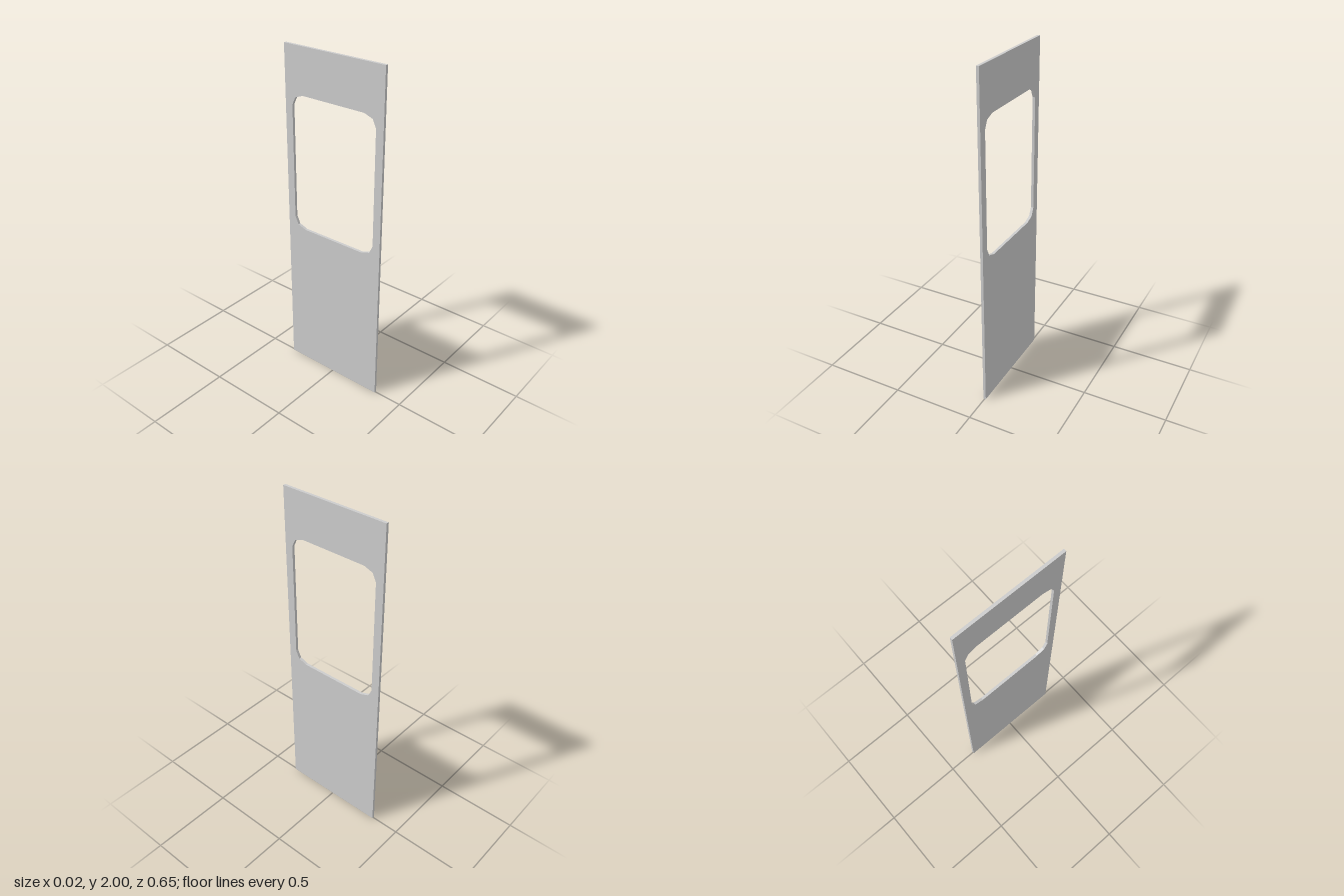
import * as THREE from 'three';

const HEIGHT = 2, WIDTH = 0.65, THICKNESS = 0.016;
const WINDOW = { halfWidth: 0.278, bottom: 0.932, top: 1.737, cornerX: 0.075, cornerY: 0.065 };

// Window outline: each rounded corner is made of two straight facets
function windowPath() {
  const { halfWidth, bottom, top, cornerX, cornerY } = WINDOW;
  const midY = (top + bottom) / 2, halfHeight = (top - bottom) / 2;
  const points = [];
  [[1, 1], [-1, 1], [-1, -1], [1, -1]].forEach(([sx, sy], corner) => {
    for (let i = 0; i <= 2; i++) {
      const a = (corner + i / 2) * Math.PI / 2;
      points.push(new THREE.Vector2(
        sx * (halfWidth - cornerX) + Math.cos(a) * cornerX,
        midY + sy * (halfHeight - cornerY) + Math.sin(a) * cornerY));
    }
  });
  return new THREE.Path(points);
}

export function createModel() {
  const group = new THREE.Group();
  group.name = 'doorPanel';

  // Flat panel with the window opening cut through it
  const w = WIDTH / 2;
  const outline = new THREE.Shape([
    new THREE.Vector2(-w, 0), new THREE.Vector2(w, 0),
    new THREE.Vector2(w, HEIGHT), new THREE.Vector2(-w, HEIGHT),
  ]);
  outline.holes.push(windowPath());
  const geometry = new THREE.ExtrudeGeometry(outline, { depth: THICKNESS, bevelEnabled: false });
  geometry.translate(0, 0, -THICKNESS / 2).rotateY(Math.PI / 2);

  const panel = new THREE.Mesh(geometry,
    new THREE.MeshStandardMaterial({ color: 0xcccccc, flatShading: true }));
  panel.name = 'panelWithWindow';
  group.add(panel);
  return group;
}
